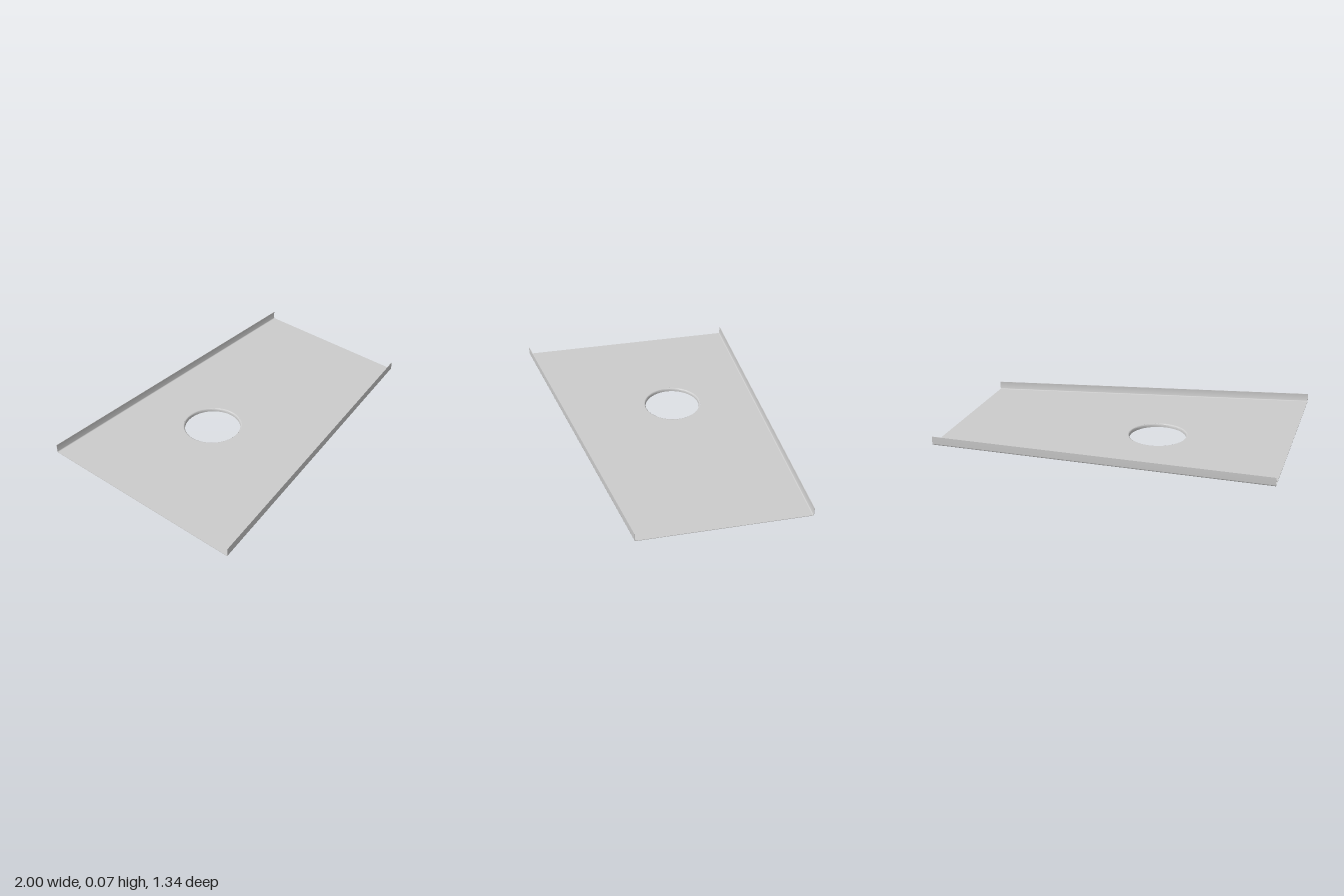
import * as THREE from 'three';
import { toCreasedNormals } from 'three/addons/utils/BufferGeometryUtils.js';

const T = 0.003;            // sheet thickness
const Y0 = 0.018;           // underside of the sheet
const TOP = 0.07;           // top of the flanges
const BEND = 0.008;         // outer bend radius
const BACK = -0.67;         // back edge
const frontZ = (x) => 0.5 - 0.17 * x; // slanted front edge
const HOLE = { x: -0.215, z: -0.15, r: 0.178 };

export function createModel() {
  const group = new THREE.Group();
  const material = new THREE.MeshStandardMaterial({ color: 0xcccccc });
  const add = (name, geometry) => {
    const mesh = new THREE.Mesh(toCreasedNormals(geometry, 0.6), material);
    mesh.name = name;
    group.add(mesh);
    return mesh;
  };

  // Flat sheet with a round hole (shape y is -z)
  const sheet = new THREE.Shape([
    [-1, -frontZ(-1) + BEND], [1, -frontZ(1) + BEND], [1, -BACK - BEND], [-1, -BACK - BEND],
  ].map(([x, y]) => new THREE.Vector2(x, y)));
  sheet.holes.push(new THREE.Path().absarc(HOLE.x, -HOLE.z, HOLE.r, 0, Math.PI * 2, true));
  const plate = new THREE.ExtrudeGeometry(sheet, { depth: T, bevelEnabled: false, curveSegments: 64 });
  plate.rotateX(-Math.PI / 2).translate(0, Y0, 0);
  add('plate', plate);

  // Upturned flange with a rounded bend; profile x points outward from the plate
  const profile = new THREE.Shape();
  profile.moveTo(-BEND, Y0);
  profile.absarc(-BEND, Y0 + BEND, BEND, -Math.PI / 2, 0, false);
  profile.lineTo(0, TOP);
  profile.lineTo(-T, TOP);
  profile.absarc(-BEND, Y0 + BEND, BEND - T, 0, -Math.PI / 2, true);
  const flange = (name, place) => {
    const g = new THREE.ExtrudeGeometry(profile, { depth: 2, bevelEnabled: false, curveSegments: 6 });
    const p = g.attributes.position;
    for (let i = 0; i < p.count; i++) p.setXYZ(i, ...place(p.getX(i), p.getY(i), p.getZ(i)));
    g.computeVertexNormals();
    add(name, g);
  };
  flange('frontFlange', (s, y, d) => [1 - d, y, frontZ(1 - d) + s]);
  flange('backFlange', (s, y, d) => [d - 1, y, BACK - s]);

  // Collar drawn down around the hole, with a rounded lip
  const r = 0.006;
  const arc = (radius, from, to) => Array.from({ length: 7 }, (_, i) => {
    const a = from + (to - from) * i / 6;
    return new THREE.Vector2(HOLE.r + radius * Math.cos(a), Y0 - r + radius * Math.sin(a));
  });
  const inner = HOLE.r - r - T;
  const collar = add('holeCollar', new THREE.LatheGeometry([
    new THREE.Vector2(inner, 0),
    new THREE.Vector2(inner + T, 0),
    ...arc(r, Math.PI, Math.PI / 2),
    ...arc(r + T, Math.PI / 2, Math.PI),
    new THREE.Vector2(inner, 0),
  ], 64));
  collar.position.set(HOLE.x, 0, HOLE.z);

  return group;
}
